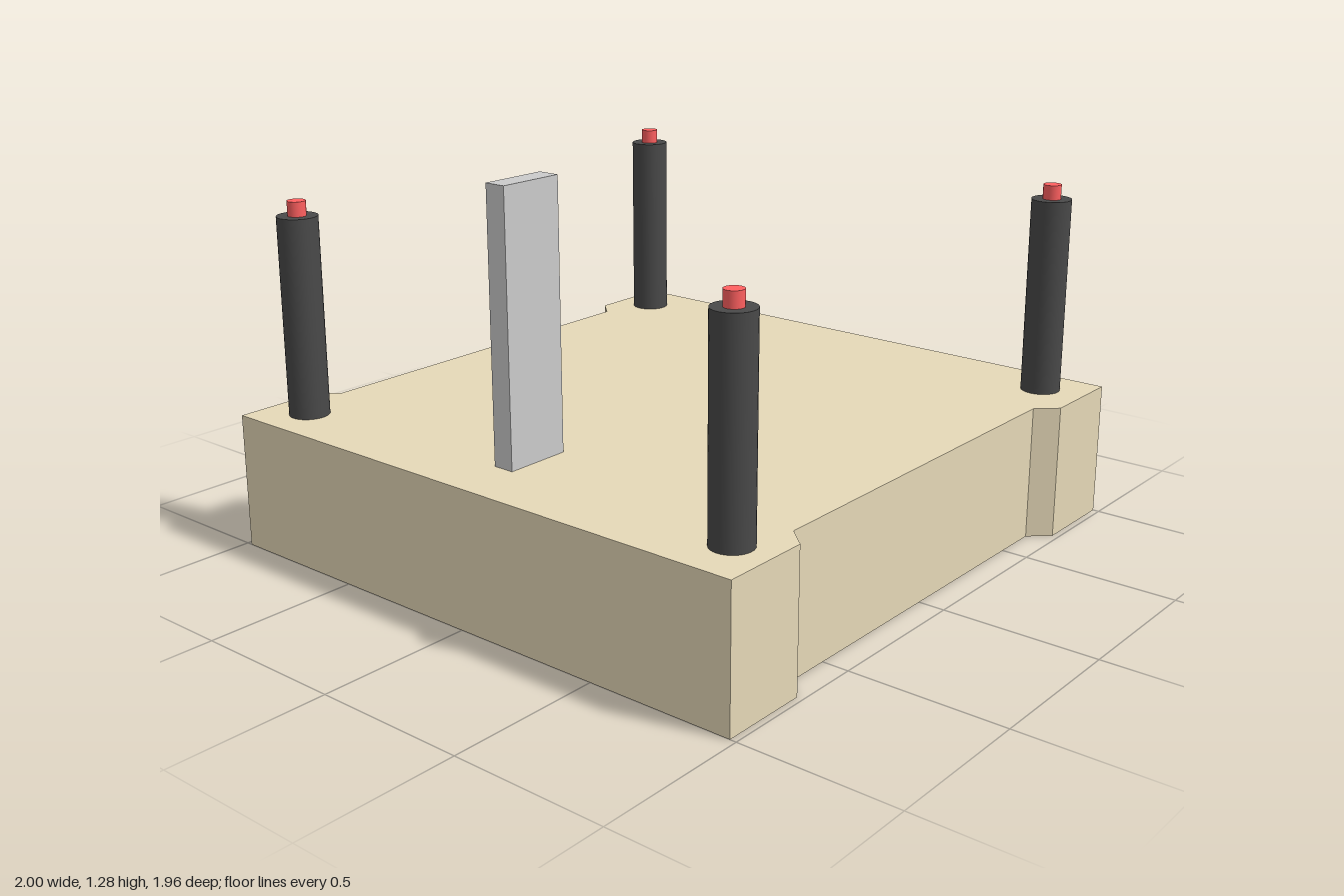
import * as THREE from 'three';

const mat = (color) => new THREE.MeshStandardMaterial({ color });

export function createModel() {
  const model = new THREE.Group();
  const tan = mat(0xe6d9b8), dark = mat(0x494949), red = mat(0xff6060), grey = mat(0xcccccc);
  const baseTop = 0.44;

  function add(parent, name, geometry, material, x, y, z) {
    const mesh = new THREE.Mesh(geometry, material);
    mesh.name = name;
    mesh.position.set(x, y, z);
    parent.add(mesh);
    return mesh;
  }

  // Slab with a shallow recess along its front and back edges
  const half = [[1, 0.98], [0.71, 0.98], [0.65, 0.915], [-0.65, 0.915], [-0.71, 0.98], [-1, 0.98]];
  const outline = [...half, ...half.map(([x, z]) => [-x, -z])];
  const shape = new THREE.Shape(outline.map(([x, z]) => new THREE.Vector2(x, z)));
  const slab = new THREE.ExtrudeGeometry(shape, { depth: baseTop, bevelEnabled: false });
  slab.rotateX(-Math.PI / 2);
  add(model, 'base', slab, tan, 0, 0, 0);

  // Four corner posts with red pins; the square of posts is turned very slightly
  const postHeight = 0.64, pinHeight = 0.047;
  const postGeometry = new THREE.CylinderGeometry(0.064, 0.064, postHeight, 32);
  const pinGeometry = new THREE.CylinderGeometry(0.029, 0.029, pinHeight, 32);
  for (let i = 0; i < 4; i++) {
    const corner = new THREE.Group();
    corner.name = 'cornerPost' + (i + 1);
    const p = new THREE.Vector3(0.85, 0, 0.831).applyAxisAngle(new THREE.Vector3(0, 1, 0), i * Math.PI / 2);
    corner.position.set(p.x, baseTop, p.z);
    add(corner, 'post', postGeometry, dark, 0, postHeight / 2, 0);
    add(corner, 'pin', pinGeometry, red, 0, postHeight + pinHeight / 2, 0);
    model.add(corner);
  }

  // Upright plate near the right edge
  add(model, 'uprightPlate', new THREE.BoxGeometry(0.215, 0.836, 0.07), grey, -0.705, baseTop + 0.418, -0.002);

  return model;
}
